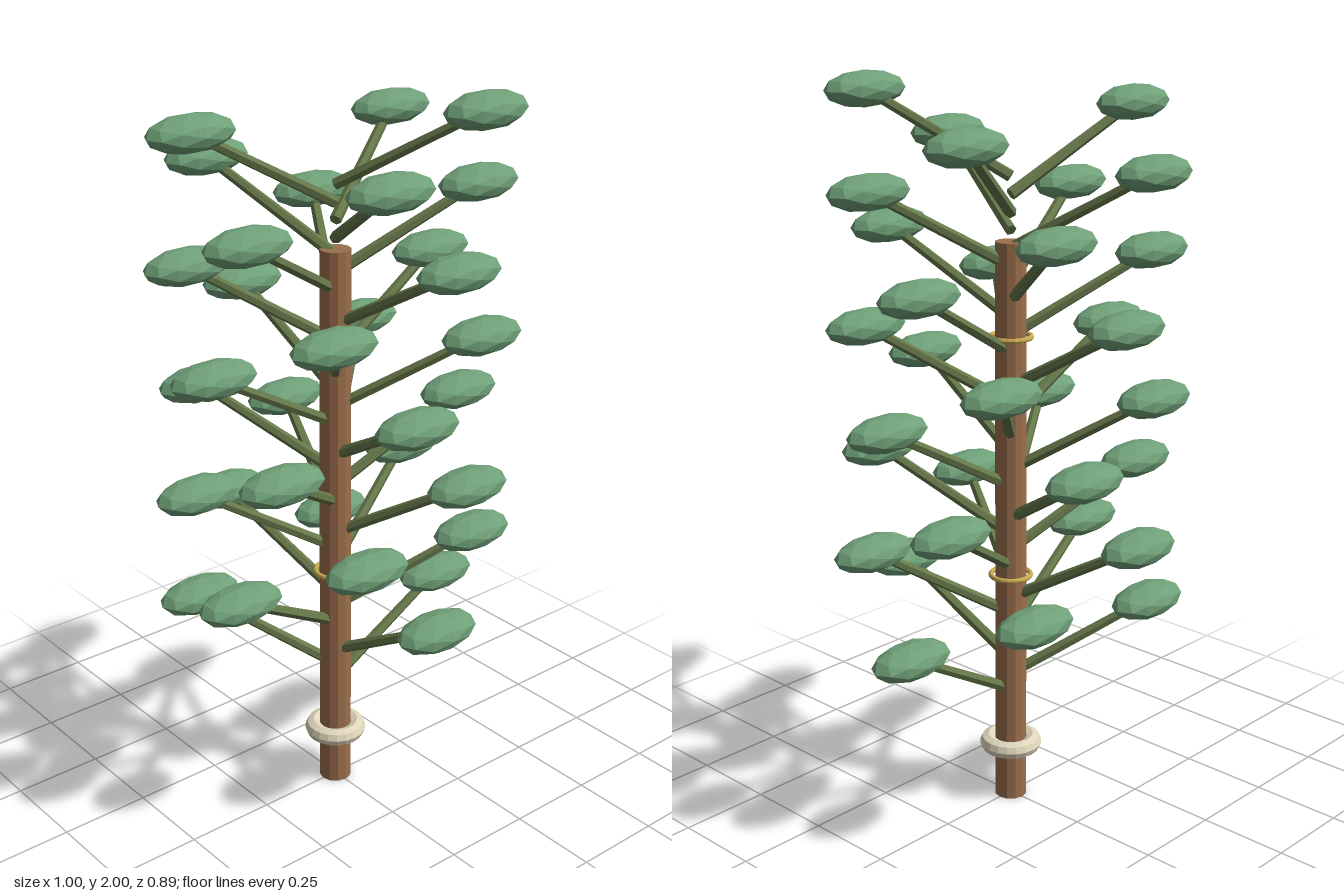
import * as THREE from 'three';

const paint = (color) => new THREE.MeshStandardMaterial({ color, flatShading: true });

export function createModel() {
  const group = new THREE.Group();
  const bark = paint(0x9c6f4c), stemGreen = paint(0x66784a), leafGreen = paint(0x6fa078);
  const cream = paint(0xe0d6bc), gold = paint(0xc8a850);

  const add = (name, geometry, material, parent = group) => {
    const mesh = new THREE.Mesh(geometry, material);
    mesh.name = name;
    parent.add(mesh);
    return mesh;
  };

  // Slightly tapered trunk
  add('trunk', new THREE.CylinderGeometry(0.041, 0.045, 1.575, 12), bark).position.y = 1.575 / 2;

  // Thick collar near the foot and two thin bands higher up
  const ring = (name, y, radius, tube, material) => {
    const mesh = add(name, new THREE.TorusGeometry(radius, tube, 8, 20), material);
    mesh.rotation.x = Math.PI / 2;
    mesh.position.y = y;
  };
  ring('baseCollar', 0.16, 0.062, 0.024, cream);
  ring('lowerBand', 0.662, 0.054, 0.007, gold);
  ring('upperBand', 1.325, 0.054, 0.007, gold);

  // Branches climb the trunk in a golden-angle spiral, each ending in a leaf pad
  const count = 32, reach = 0.375, rise = 0.21;
  const goldenAngle = THREE.MathUtils.degToRad(137.5);
  const length = Math.hypot(reach, rise);
  const stemShape = new THREE.CylinderGeometry(0.013, 0.016, length, 6).translate(0, length / 2, 0);
  const leafShape = new THREE.IcosahedronGeometry(1, 1).scale(0.125, 0.047, 0.07);
  const up = new THREE.Vector3(0, 1, 0);

  for (let i = 0; i < count; i++) {
    const a = i * goldenAngle;
    const offset = new THREE.Vector3(Math.cos(a) * reach, rise, -Math.sin(a) * reach);
    const branch = new THREE.Group();
    branch.name = 'branch';
    branch.position.y = 0.321 + i * 0.0458;
    add('stem', stemShape, stemGreen, branch)
      .quaternion.setFromUnitVectors(up, offset.clone().normalize());
    add('leafPad', leafShape, leafGreen, branch).position.copy(offset);
    group.add(branch);
  }
  return group;
}
